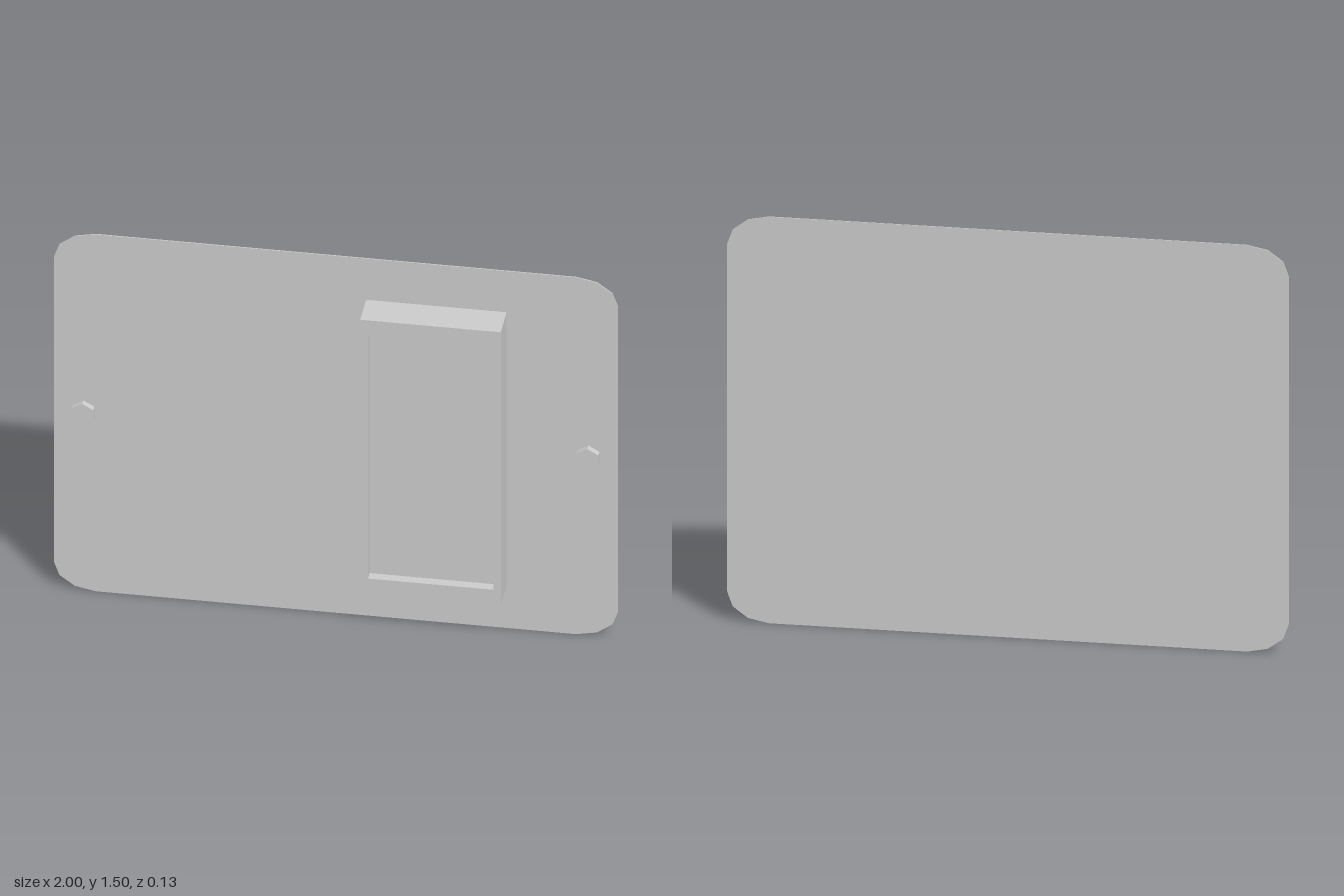
import * as THREE from 'three';

const material = new THREE.MeshStandardMaterial({ color: 0xcccccc, flatShading: true });
const BACK = -0.066, PLATE_FRONT = -0.062, FRAME_FRONT = 0.066;

// Closed rectangle outline, as a shape or a hole
function rect(target, x0, y0, x1, y1) {
  target.moveTo(x0, y0);
  target.lineTo(x1, y0);
  target.lineTo(x1, y1);
  target.lineTo(x0, y1);
  target.closePath();
  return target;
}

// Rectangle with faceted elliptical corners
function roundedOutline(width, height, rx, ry, steps) {
  const points = [];
  const signs = [[1, 1], [-1, 1], [-1, -1], [1, -1]];
  signs.forEach(([sx, sy], corner) => {
    for (let i = 0; i <= steps; i++) {
      const a = (corner + i / steps) * Math.PI / 2;
      points.push(new THREE.Vector2(
        sx * (width / 2 - rx) + rx * Math.cos(a),
        height / 2 + sy * (height / 2 - ry) + ry * Math.sin(a)));
    }
  });
  return new THREE.Shape(points);
}

// Extrude a shape between two z positions
function slab(name, shape, z0, z1) {
  const geometry = new THREE.ExtrudeGeometry(shape, { depth: z1 - z0, bevelEnabled: false });
  geometry.translate(0, 0, z0);
  const mesh = new THREE.Mesh(geometry, material);
  mesh.name = name;
  return mesh;
}

export function createModel() {
  const model = new THREE.Group();
  model.name = 'wallPlate';

  // Thin backing plate
  model.add(slab('plate', roundedOutline(2, 1.5, 0.15, 0.11, 3), BACK, PLATE_FRONT));

  // Raised housing: a frame around a shallow recessed panel
  const housing = new THREE.Group();
  housing.name = 'housing';
  const frame = rect(new THREE.Shape(), 0.107, 0.18, 0.605, 1.327);
  frame.holes.push(rect(new THREE.Path(), 0.134, 0.242, 0.579, 1.262));
  housing.add(slab('frame', frame, PLATE_FRONT, FRAME_FRONT));
  housing.add(slab('recessedPanel', rect(new THREE.Shape(), 0.134, 0.242, 0.579, 1.262), PLATE_FRONT, 0.031));
  model.add(housing);

  // Hexagonal bolt heads, mirrored left and right
  for (const side of [1, -1]) {
    const geometry = new THREE.CylinderGeometry(0.045, 0.045, 0.025, 6);
    geometry.rotateX(Math.PI / 2);
    const bolt = new THREE.Mesh(geometry, material);
    bolt.name = side > 0 ? 'leftBolt' : 'rightBolt';
    bolt.position.set(side * 0.895, 0.753, PLATE_FRONT + 0.0115);
    model.add(bolt);
  }
  return model;
}
